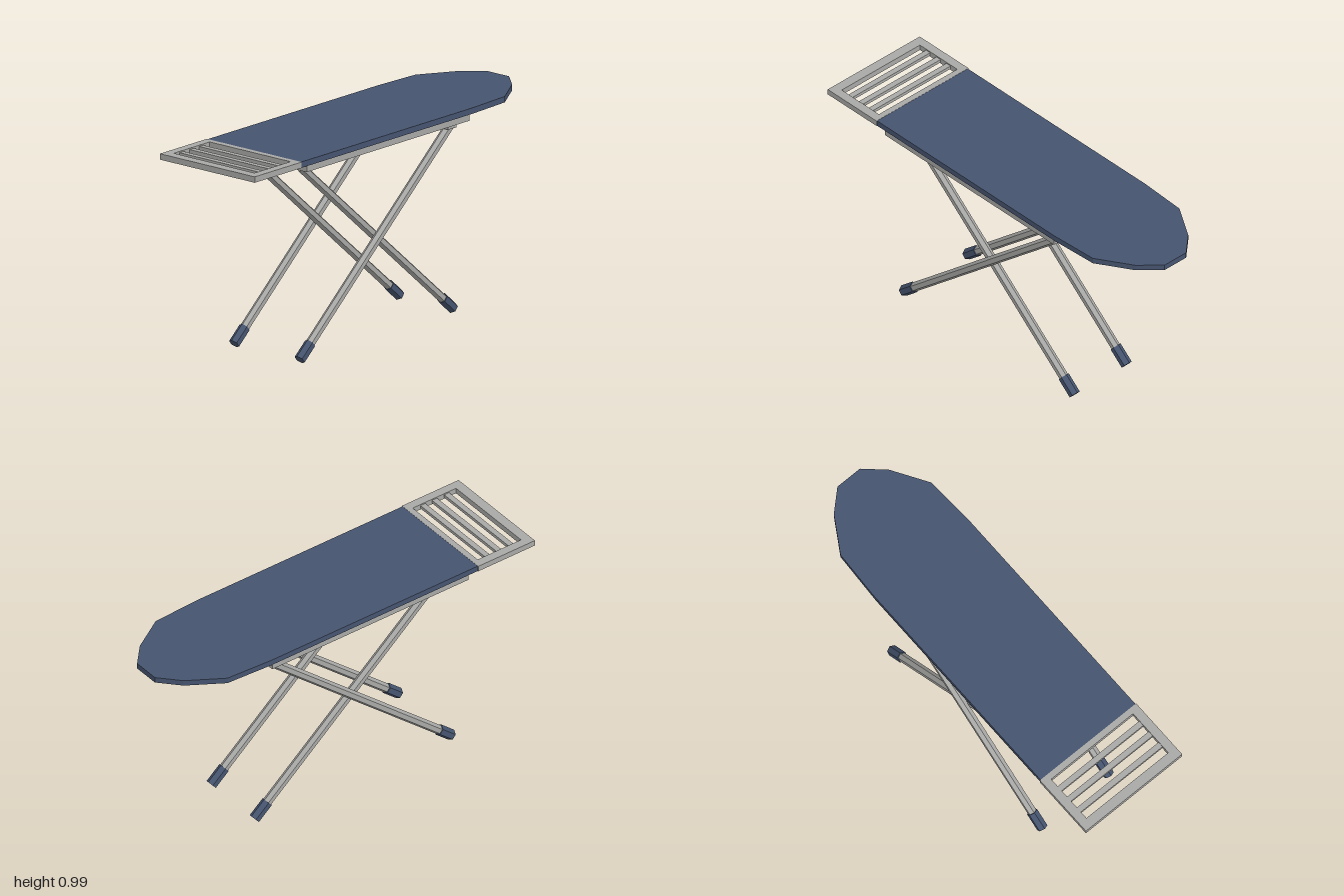
import * as THREE from 'three';

export function createModel() {
  const model = new THREE.Group();
  model.name = 'ironingBoard';
  const metal = new THREE.MeshStandardMaterial({ name: 'greyMetal', color: 0xa8a8a6, flatShading: true });
  const blue = new THREE.MeshStandardMaterial({ name: 'slateBlue', color: 0x46546f, flatShading: true });

  const add = (name, geometry, material, x = 0, y = 0, z = 0) => {
    const mesh = new THREE.Mesh(geometry, material);
    mesh.name = name;
    mesh.position.set(x, y, z);
    model.add(mesh);
    return mesh;
  };
  const box = (name, material, w, h, d, x, y, z) =>
    add(name, new THREE.BoxGeometry(w, h, d), material, x, y, z);

  // Horizontal slab from an outline in (x, z), hanging down from its top
  const slab = (name, shape, material, top, thickness) => {
    const geometry = new THREE.ExtrudeGeometry(shape, { depth: thickness, bevelEnabled: false });
    geometry.rotateX(Math.PI / 2);
    return add(name, geometry, material, 0, top, 0);
  };
  const outline = (points) => new THREE.Shape(points.map(([x, z]) => new THREE.Vector2(x, z)));

  // Hexagonal rod between two [y, z] points in the plane at x
  const rod = (name, material, x, [y0, z0], [y1, z1], radius) => {
    const length = Math.hypot(y1 - y0, z1 - z0);
    const mesh = add(name, new THREE.CylinderGeometry(radius, radius, length, 6), material,
      x, (y0 + y1) / 2, (z0 + z1) / 2);
    mesh.rotation.x = Math.atan2(z1 - z0, y1 - y0);
  };

  // Padded top with a faceted nose
  const half = [[0.283, 0.677], [0.283, -0.5], [0.27, -0.74], [0.165, -0.91], [0.067, -1]];
  const mirrored = half.map(([x, z]) => [-x, z]).reverse();
  slab('boardCover', outline([...half, ...mirrored]), blue, 0.992, 0.028);

  // Iron rest: open frame with three recessed bars
  const frame = outline([[-0.287, 0.677], [0.287, 0.677], [0.287, 1], [-0.287, 1]]);
  frame.holes.push(new THREE.Path([[-0.244, 0.706], [-0.244, 0.953], [0.244, 0.953], [0.244, 0.706]]
    .map(([x, z]) => new THREE.Vector2(x, z))));
  slab('ironRestFrame', frame, metal, 0.993, 0.028);
  for (const z of [0.764, 0.83, 0.899]) box('ironRestBar', metal, 0.49, 0.016, 0.028, 0, 0.979, z);

  // Tray under the board
  box('underTray', metal, 0.554, 0.032, 1.12, 0, 0.949, 0.07);

  for (const side of [1, -1]) {
    // Height adjustment ribs
    for (const z of [0.556, 0.494, 0.43, 0.366, 0.302]) {
      box('heightRib', metal, 0.15, 0.018, 0.018, side * 0.165, 0.926, z);
    }
    // Hinge block
    box('hingeBlock', metal, 0.052, 0.036, 0.06, side * 0.199, 0.917, -0.43);
    // Crossed legs and their feet
    const legs = [
      ['outer', side * 0.198, [0.0225, 0.59], [0.905, -0.44]],
      ['inner', side * 0.162, [0.0225, -0.505], [0.914, 0.54]],
    ];
    for (const [kind, x, foot, top] of legs) {
      const ankle = foot.map((v, i) => v + (top[i] - v) * 0.07);
      rod(kind + 'Leg', metal, x, ankle, top, 0.0222);
      rod(kind + 'Foot', blue, x, foot, ankle, 0.0265);
    }
  }
  return model;
}
